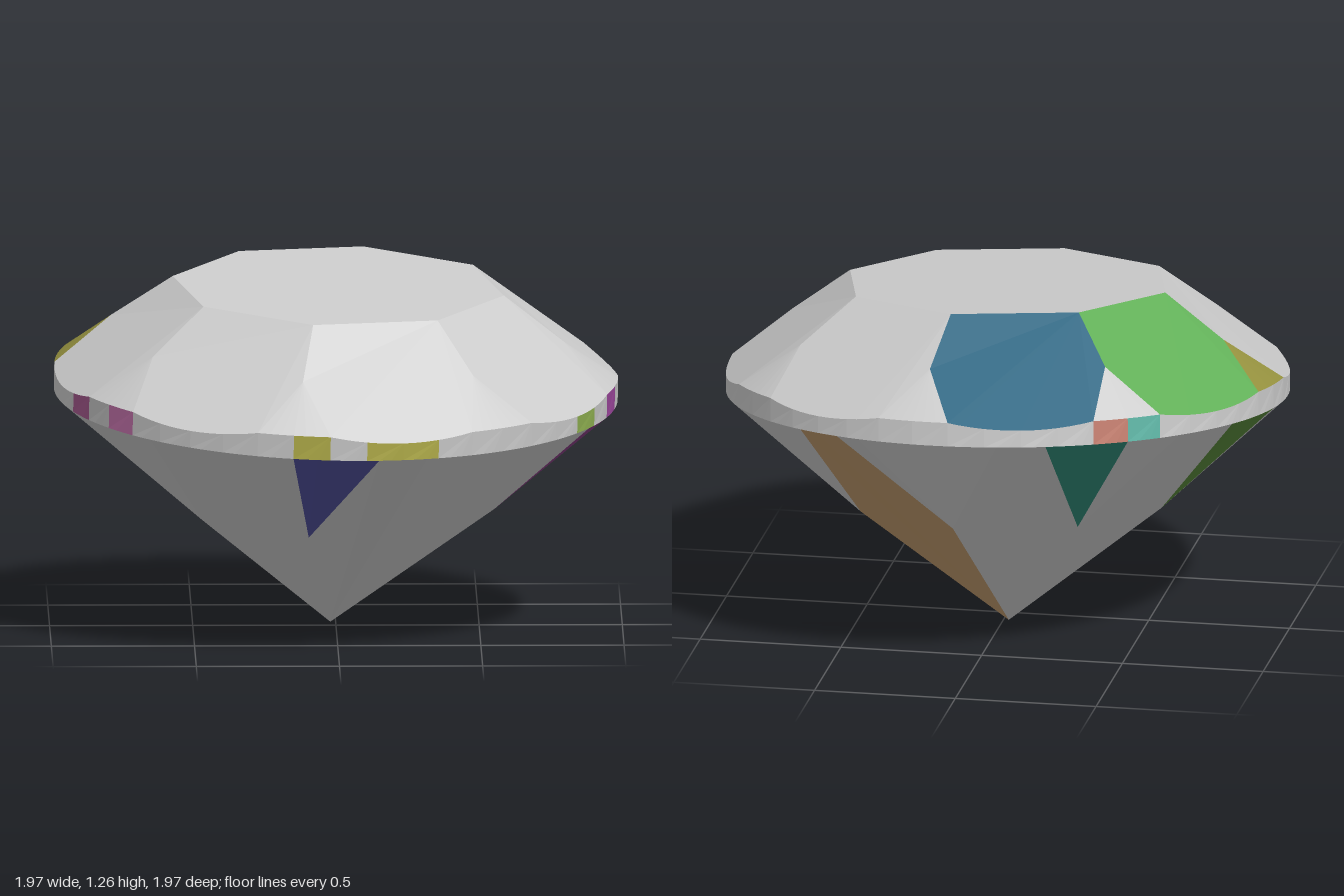
import * as THREE from 'three';

const GREY = 0xcccccc;
const START = 9.25;             // direction of the first table corner, degrees
const R = 0.985;                // girdle radius
const TABLE_R = 0.585, TABLE_H = 0.355;
const CULET = -0.854, BELT = 0.03;
const CROWN_SLOPE = 0.7, PAVILION_SLOPE = 0.836;
const COS = Math.cos(Math.PI / 8);

// Point in cylindrical terms; the angle is counted from the first table corner
function point(angle, r, h) {
  const a = THREE.MathUtils.degToRad(angle + START);
  return new THREE.Vector3(r * Math.cos(a), h, r * Math.sin(a));
}

// Upper rim of the girdle: scalloped where the crown facets meet it
function rimHeight(angle) {
  const turn = ((angle % 45) + 45) % 45;
  const d = THREE.MathUtils.degToRad(Math.min(Math.abs(turn - 22.5), 15));
  return BELT + CROWN_SLOPE * R * (1 - Math.cos(d));
}

function arc(from, to, height) {
  const pts = [];
  for (let a = from; a <= to + 0.01; a += 2.5) pts.push(point(a, R, height(a)));
  return pts;
}
const topArc = (from, to) => arc(from, to, rimHeight);
const lowArc = (from, to) => arc(from, to, () => -BELT);

// One polygonal facet, fanned from its first corner and turned outwards
function facet(name, corners, color = GREY) {
  const pos = [];
  for (let i = 1; i < corners.length - 1; i++) {
    const [a, b, c] = [corners[0], corners[i], corners[i + 1]];
    const n = b.clone().sub(a).cross(c.clone().sub(a));
    const mid = a.clone().add(b).add(c);
    for (const p of n.dot(mid) < 0 ? [a, c, b] : [a, b, c]) pos.push(p.x, p.y, p.z);
  }
  const geo = new THREE.BufferGeometry();
  geo.setAttribute('position', new THREE.Float32BufferAttribute(pos, 3));
  geo.computeVertexNormals();
  const mesh = new THREE.Mesh(geo, new THREE.MeshStandardMaterial({ color, flatShading: true }));
  mesh.name = name;
  return mesh;
}

// Facet colours, keyed by position around the stone
const crownColors = { 4: 0x62b058, 5: 0x2a6682 };
const cornerColors = { 4: 0x96923f };
const kiteColors = { 6: 0xc09a6c, 7: 0x3c3f8c };
const lowerAfter = { 0: 0x8a3f85, 4: 0x5a8a3c, 5: 0x2f8a78 };
const lowerBefore = { 2: 0x50509c };
const girdleColors = {
  0: 0xa048a0, 2: 0x8fb050, 8: 0xb4b04a, 9: 0xb4b04a, 11: 0xb4b04a, 17: 0xc070a8,
  19: 0xa85a90, 29: 0x60b8a8, 30: 0xc88070,
};

export function createModel() {
  const stone = new THREE.Group();
  stone.name = 'cutStone';

  // Flat octagonal table on top
  const tableCorner = (k) => point(45 * k, TABLE_R, TABLE_H);
  stone.add(facet('table', [0, 1, 2, 3, 4, 5, 6, 7].map(tableCorner)));

  // Point where two neighbouring crown facets split around a corner facet
  const splitR = 0.8;
  const splitH = BELT + CROWN_SLOPE * (R - splitR * COS);
  const split = (k) => point(45 * k, splitR, splitH);

  // Point where two neighbouring pavilion kites part
  const shoulderR = 0.57;
  const shoulderH = CULET + PAVILION_SLOPE * shoulderR * COS;
  const shoulder = (k) => point(45 * k, shoulderR, shoulderH);
  const culet = new THREE.Vector3(0, CULET, 0);

  for (let k = 0; k < 8; k++) {
    const a = 45 * k;
    // Crown: a large facet below each table edge, a triangle below each corner
    stone.add(facet('crownFacet',
      [tableCorner(k), split(k), ...topArc(a + 7.5, a + 37.5), split(k + 1), tableCorner(k + 1)],
      crownColors[k]));
    stone.add(facet('crownTriangle', [split(k), ...topArc(a - 7.5, a + 7.5)], cornerColors[k]));

    // Pavilion: a kite running down to the culet, two triangles between kites
    stone.add(facet('pavilionKite',
      [culet, shoulder(k), ...lowArc(a + 17.5, a + 27.5), shoulder(k + 1)], kiteColors[k]));
    stone.add(facet('lowerTriangle', [shoulder(k), ...lowArc(a, a + 17.5)], lowerAfter[k]));
    stone.add(facet('lowerTriangle', [shoulder(k), ...lowArc(a - 17.5, a)], lowerBefore[k]));
  }

  // Girdle: a thin belt of short panels
  for (let i = 0; i < 48; i++) {
    const a = 7.5 * i;
    stone.add(facet('girdlePanel',
      [...topArc(a, a + 7.5), ...lowArc(a, a + 7.5).reverse()], girdleColors[i]));
  }

  // The stone leans slightly forward on its point
  const axis = new THREE.Vector3(0.022, 1, 0.1).normalize();
  stone.quaternion.setFromUnitVectors(new THREE.Vector3(0, 1, 0), axis);
  stone.position.y = 0.85;

  const model = new THREE.Group();
  model.name = 'gem';
  model.add(stone);
  return model;
}
